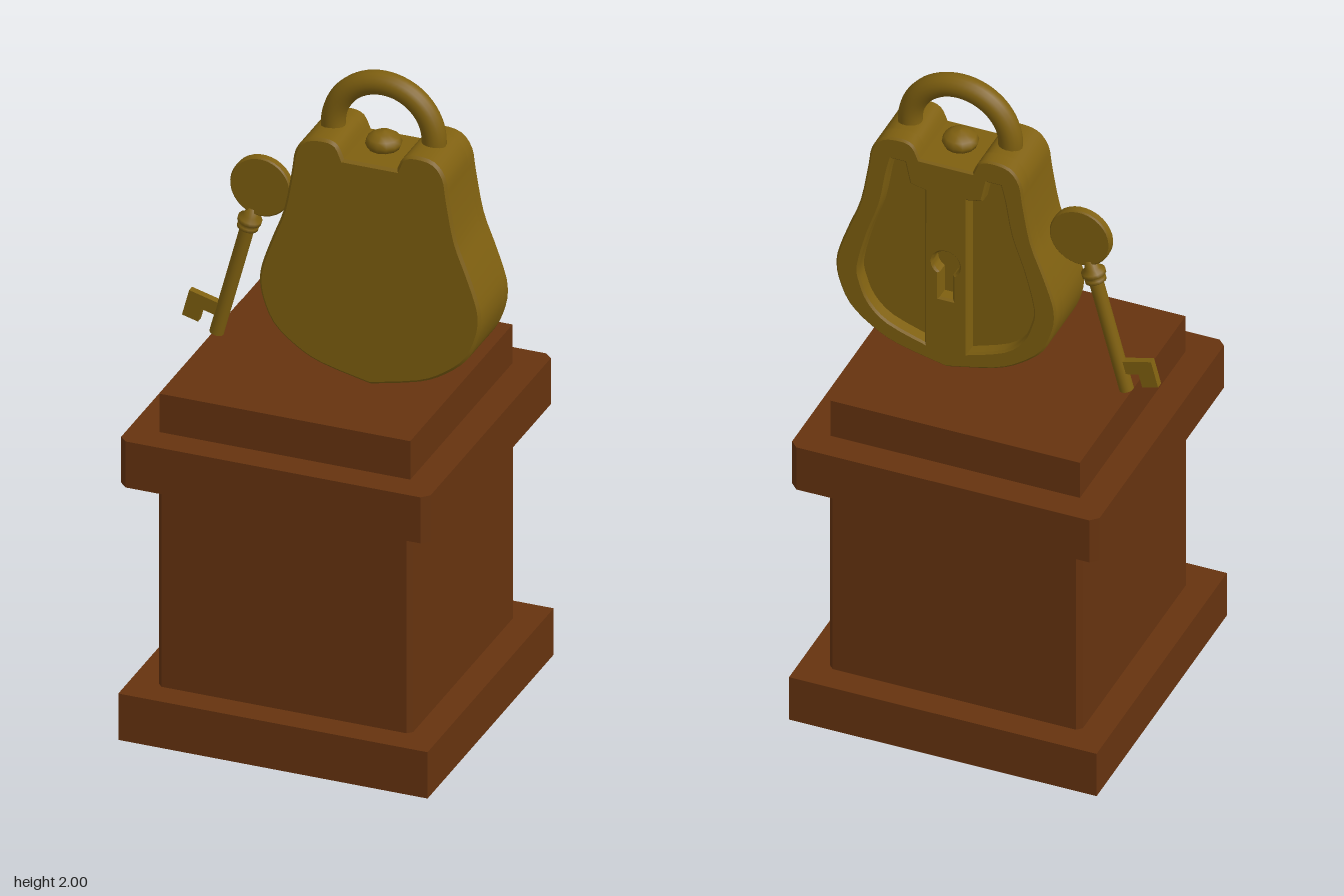
import * as THREE from 'three';
import { toCreasedNormals } from 'three/addons/utils/BufferGeometryUtils.js';

const wood = new THREE.MeshStandardMaterial({ color: 0x66330f });
const brass = new THREE.MeshStandardMaterial({ color: 0x7f6010 });

const v2 = (pts) => pts.map(([x, y]) => new THREE.Vector2(x, y));

function add(parent, name, geometry, material, x = 0, y = 0, z = 0) {
  const mesh = new THREE.Mesh(geometry, material);
  mesh.name = name;
  mesh.position.set(x, y, z);
  parent.add(mesh);
  return mesh;
}

// Extruded plate between z0 and z1 with a small bevel inside the outline
function slab(shape, z0, z1, bevel) {
  const g = new THREE.ExtrudeGeometry(shape, {
    depth: z1 - z0 - 2 * bevel, bevelEnabled: bevel > 0, bevelThickness: bevel,
    bevelSize: bevel, bevelOffset: -bevel, bevelSegments: 1, curveSegments: 16,
  });
  g.translate(0, 0, z0 + bevel);
  return toCreasedNormals(g, 0.5);
}

// Square block with cut vertical corners
function cutBlock(half, cut, height) {
  const a = half, b = half - cut;
  const shape = new THREE.Shape(v2([[b, -a], [a, -b], [a, b], [b, a], [-b, a], [-a, b], [-a, -b], [-b, -a]]));
  const g = new THREE.ExtrudeGeometry(shape, { depth: height, bevelEnabled: false });
  return g.rotateX(-Math.PI / 2);
}

function makePedestal() {
  const g = new THREE.Group();
  g.name = 'pedestal';
  g.position.x = -0.009;
  add(g, 'base', new THREE.BoxGeometry(0.932, 0.146, 0.932), wood, 0, 0.073);
  add(g, 'column', cutBlock(0.383, 0.014, 0.655), wood, 0, 0.146);
  add(g, 'cap', cutBlock(0.466, 0.022, 0.145), wood, 0, 0.8);
  add(g, 'topBlock', new THREE.BoxGeometry(0.756, 0.122, 0.756), wood, 0, 1.005);
  return g;
}

function bodyOutline() {
  // Half outline from the lowest point up to the notch, then mirrored
  const side = new THREE.SplineCurve(v2([
    [0, 1.065], [0.147, 1.1], [0.226, 1.14], [0.293, 1.2], [0.327, 1.28], [0.333, 1.343],
    [0.32, 1.4], [0.293, 1.476], [0.26, 1.566], [0.237, 1.69], [0.226, 1.757],
    [0.193, 1.8], [0.137, 1.81], [0.1, 1.798], [0.08, 1.757],
  ])).getPoints(42);
  const mirrored = side.slice(1).reverse().map((p) => new THREE.Vector2(-p.x, p.y));
  return new THREE.Shape([...side, ...mirrored]);
}

function makePadlock() {
  const g = new THREE.Group();
  g.name = 'padlock';
  g.position.x = 0.135;

  add(g, 'body', slab(bodyOutline(), -0.065, 0.105, 0.008), brass);

  // Back plate: two sunken panels beside a central strip with the keyhole
  const back = bodyOutline();
  const curve = new THREE.SplineCurve(v2([
    [0.165, 1.735], [0.178, 1.68], [0.198, 1.57], [0.235, 1.46], [0.264, 1.34],
    [0.256, 1.28], [0.23, 1.22], [0.175, 1.17], [0.065, 1.13],
  ])).getPoints(24);
  const panel = [...v2([[0.065, 1.655], [0.11, 1.665], [0.125, 1.735]]), ...curve];
  for (const s of [1, -1]) {
    back.holes.push(new THREE.Path(panel.map((p) => new THREE.Vector2(s * p.x, p.y))));
  }
  const keyhole = new THREE.Path();
  keyhole.moveTo(0.02, 1.3);
  keyhole.lineTo(0.02, 1.385);
  keyhole.absarc(0, 1.42, 0.04, -Math.PI / 3, Math.PI * 4 / 3, false);
  keyhole.lineTo(-0.02, 1.3);
  keyhole.closePath();
  back.holes.push(keyhole);
  add(g, 'backPlate', slab(back, -0.105, -0.05, 0.006), brass);

  // Shackle: half ring running into straight legs
  add(g, 'shackle', new THREE.TorusGeometry(0.152, 0.035, 16, 32, Math.PI), brass, 0, 1.813);
  for (const s of [1, -1]) {
    add(g, 'shackleLeg', new THREE.CylinderGeometry(0.035, 0.035, 0.12, 16), brass, s * 0.152, 1.753);
  }

  // Small rounded knob in the notch
  const knob = v2([[0.03, 1.73], [0.03, 1.757], [0.046, 1.764], [0.053, 1.78], [0.046, 1.797], [0.025, 1.81], [0, 1.815]]);
  add(g, 'knob', new THREE.LatheGeometry(knob, 12), brass);
  return g;
}

function makeKey() {
  // Origin at the tip, shaft along local y
  const g = new THREE.Group();
  g.name = 'key';
  g.position.set(-0.374, 1.073, -0.013);
  g.rotation.z = -0.261;

  add(g, 'shaft', new THREE.CylinderGeometry(0.021, 0.021, 0.4, 16), brass, 0, 0.2);
  const collar = v2([[0.02, 0.355], [0.031, 0.361], [0.031, 0.371], [0.024, 0.376], [0.035, 0.382], [0.035, 0.394], [0.022, 0.403], [0.016, 0.43], [0, 0.43]]);
  add(g, 'collar', new THREE.LatheGeometry(collar, 16), brass);

  const disc = new THREE.Shape();
  disc.absarc(0, 0, 0.092, 0, Math.PI * 2, false);
  add(g, 'bow', slab(disc, -0.014, 0.014, 0.004), brass, 0.006, 0.508);

  const bit = new THREE.Shape(v2([[0, 0.056], [0, 0.097], [-0.107, 0.097], [-0.107, 0.013], [-0.057, 0.013], [-0.057, 0.056]]));
  add(g, 'bit', slab(bit, -0.011, 0.011, 0), brass);
  return g;
}

export function createModel() {
  const model = new THREE.Group();
  model.name = 'padlockOnPedestal';
  model.add(makePedestal(), makePadlock(), makeKey());
  return model;
}
